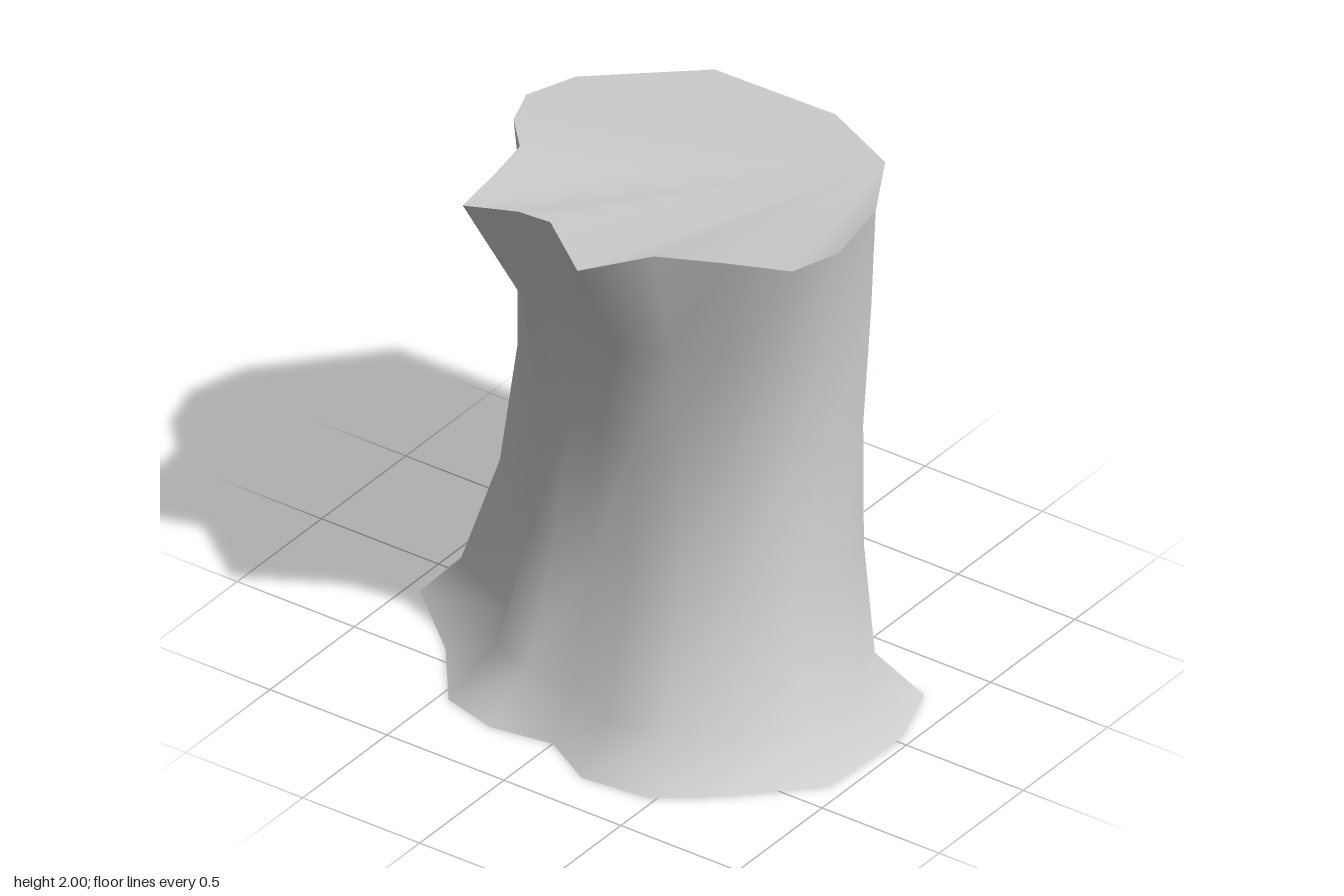
import * as THREE from 'three';

// Plan outlines [x, z], running from the front cut edge round the -x side to the back cut edge
const base = [[.3, .86], [.02, .96], [-.37, .94], [-.64, .68], [-.8, .48], [-.83, .21], [-.71, 0],
  [-.75, -.24], [-.69, -.46], [-.43, -.66], [-.18, -.95], [.03, -.96], [.23, -.96], [.51, -.63]];
const foot = [[.23, .7], [0, .8], [-.28, .78], [-.5, .6], [-.63, .42], [-.67, .2], [-.55, -.02],
  [-.56, -.22], [-.5, -.39], [-.28, -.48], [-.14, -.81], [.05, -.83], [.23, -.84], [.45, -.67]];
const lower = [[.22, .66], [0, .7], [-.21, .67], [-.35, .52], [-.43, .34], [-.45, .13], [-.42, -.04],
  [-.42, -.2], [-.38, -.33], [-.24, -.45], [-.08, -.68], [.08, -.71], [.23, -.74], [.46, -.61]];
const waist = [[.23, .65], [0, .66], [-.16, .6], [-.28, .46], [-.34, .28], [-.37, .1], [-.36, -.05],
  [-.35, -.19], [-.32, -.3], [-.22, -.43], [-.06, -.62], [.07, -.67], [.23, -.7], [.42, -.57]];
// The rim is uneven, so its points are [x, z, y]
const rim = [[.29, .66, 1.92], [-.07, .76, 1.97], [-.26, .7, 1.97], [-.39, .51, 2], [-.5, .28, 2],
  [-.73, .12, 2], [-.53, -.14, 2], [-.54, -.27, 2], [-.62, -.45, 2], [-.38, -.48, 2],
  [-.17, -.53, 1.98], [-.04, -.65, 1.98], [.16, -.74, 1.945], [.4, -.7, 1.91]];
const overhang = [[.82, -.41, 1.83], [.83, .1, 1.83], [.68, .42, 1.83]];

// Blend two outlines, fixing the two cut edges
function blend(a, b, t, first, last) {
  const ring = a.map((p, i) => [p[0] + (b[i][0] - p[0]) * t, p[1] + (b[i][1] - p[1]) * t]);
  ring[0] = first;
  ring[ring.length - 1] = last;
  return ring;
}

function surface(positions, index) {
  const geometry = new THREE.BufferGeometry();
  geometry.setAttribute('position', new THREE.Float32BufferAttribute(positions, 3));
  geometry.setIndex(index);
  geometry.computeVertexNormals();
  return geometry;
}

// Skin a stack of open rings into one smooth sheet
function loft(rings) {
  const n = rings[0].points.length;
  const positions = [], index = [];
  for (const { y, points } of rings) {
    for (const [x, z, ownY] of points) positions.push(x, ownY ?? y, z);
  }
  for (let r = 0; r < rings.length - 1; r++) {
    for (let i = 0; i < n - 1; i++) {
      const a = r * n + i, b = a + 1, c = a + n, d = c + 1;
      index.push(a, c, b, b, c, d);
    }
  }
  return surface(positions, index);
}

// Fill an outline, clockwise from above, with triangles fanning from its last point
function fan(points) {
  const last = points.length - 1;
  const index = [];
  for (let i = 0; i < last - 1; i++) index.push(last, i + 1, i);
  return surface(points.flatMap(([x, z, y]) => [x, y, z]), index);
}

export function createModel() {
  const group = new THREE.Group();
  group.name = 'hollowStump';
  const grey = new THREE.MeshStandardMaterial({ color: 0xcccccc, side: THREE.DoubleSide });
  grey.name = 'light grey';

  // Flared shell, open towards +x
  const shell = new THREE.Mesh(loft([
    { y: 0, points: base },
    { y: 0.15, points: foot },
    { y: 0.59, points: lower },
    { y: 1.07, points: waist },
    { y: 1.55, points: blend(waist, rim, 0.3, [.25, .67], [.42, -.61]) },
    { points: rim },
  ]), grey);
  shell.name = 'shell';
  group.add(shell);

  // Thin sagging lid that overhangs the opening
  const lid = new THREE.Mesh(fan([...rim, ...overhang]), grey);
  lid.name = 'lid';
  group.add(lid);

  return group;
}
